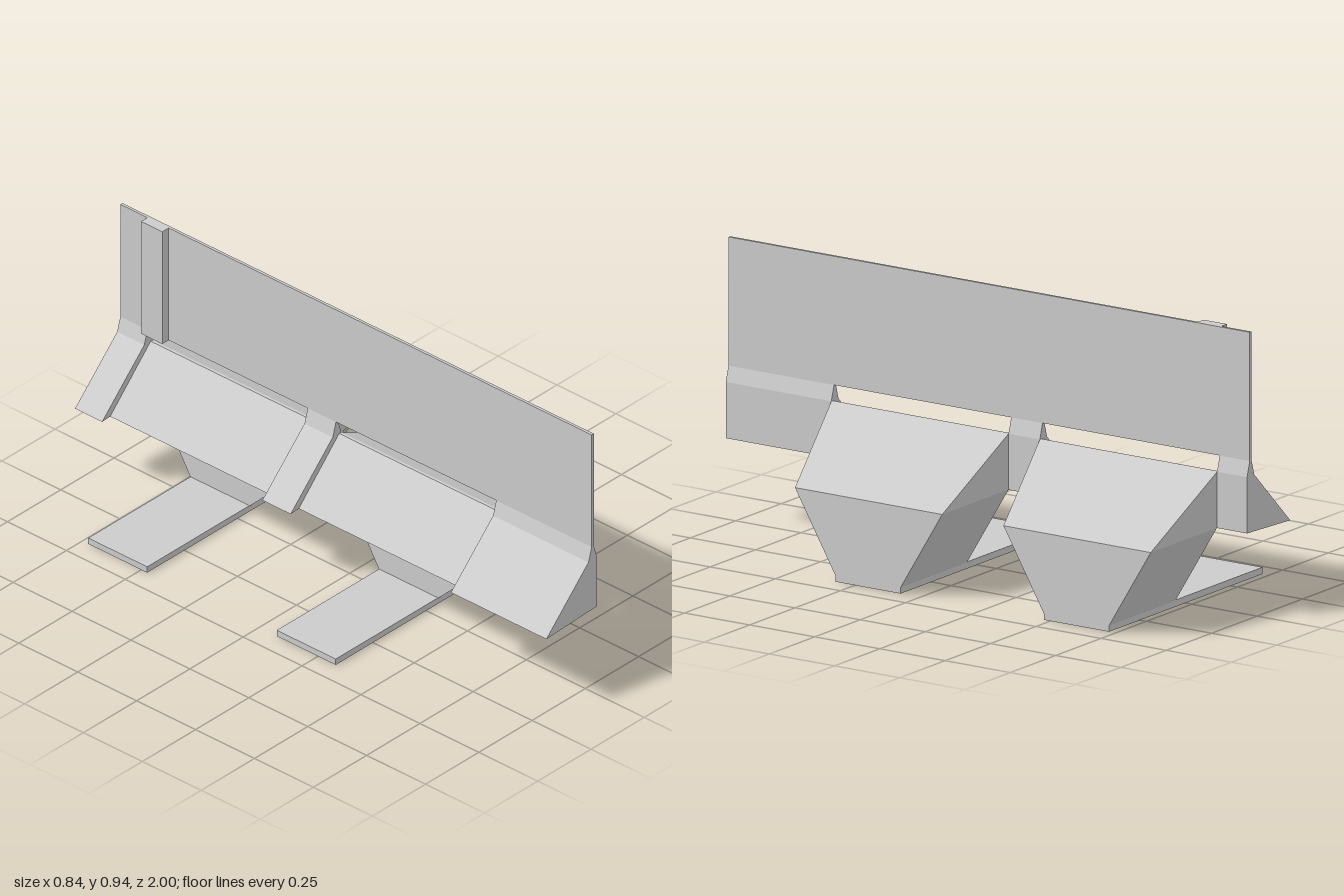
import * as THREE from 'three';

const mat = new THREE.MeshStandardMaterial({ color: 0xcccccc, flatShading: true });
const openMat = new THREE.MeshStandardMaterial({ color: 0xcccccc, flatShading: true, side: THREE.DoubleSide });

// Box given by its lower and upper corners
function box(name, [x0, y0, z0], [x1, y1, z1]) {
  const m = new THREE.Mesh(new THREE.BoxGeometry(x1 - x0, y1 - y0, z1 - z0), mat);
  m.name = name;
  m.position.set((x0 + x1) / 2, (y0 + y1) / 2, (z0 + z1) / 2);
  return m;
}

// Cross-section in x, y swept along z
function sweep(name, points, z0, z1) {
  const shape = new THREE.Shape(points.map(p => new THREE.Vector2(...p)));
  const geo = new THREE.ExtrudeGeometry(shape, { depth: z1 - z0, bevelEnabled: false });
  const m = new THREE.Mesh(geo, mat);
  m.name = name;
  m.position.z = z0;
  return m;
}

// Tapered chute, open at the bottom
function makeHopper() {
  const IN = 0.055, OUT = 0.42;
  const roof = [[IN, 0.465, 0.595], [IN, 0.465, -0.085]];
  const mid = [[IN, 0.283, 0.595], [OUT, 0.283, 0.48], [OUT, 0.283, -0.085], [IN, 0.283, -0.085]];
  const low = [[IN, 0.02, 0.325], [OUT, 0.02, 0.325], [OUT, 0.02, 0.075], [IN, 0.02, 0.075]];
  const rim = low.map(([x, , z]) => [x, 0, z]);
  const pos = [];
  const tri = (a, b, c) => pos.push(...a, ...b, ...c);
  const quad = (a, b, c, d) => { tri(a, b, c); tri(a, c, d); };

  // sloping roof and its two triangular cheeks
  quad(roof[0], mid[1], mid[2], roof[1]);
  tri(mid[0], mid[1], roof[0]);
  tri(mid[3], roof[1], mid[2]);
  // tapering walls and the short rim beneath them
  for (let i = 0; i < 4; i++) {
    const j = (i + 1) % 4;
    quad(low[i], low[j], mid[j], mid[i]);
    if (i < 3) quad(rim[i], rim[j], low[j], low[i]);
  }
  const geo = new THREE.BufferGeometry();
  geo.setAttribute('position', new THREE.Float32BufferAttribute(pos, 3));
  geo.computeVertexNormals();
  const m = new THREE.Mesh(geo, openMat);
  m.name = 'hopper';
  return m;
}

export function createModel() {
  const model = new THREE.Group();
  model.name = 'barrierWithHoppers';

  // upright panel with a rib on its rear side
  model.add(box('panel', [0.03, 0.515, -1], [0.04, 0.935, 1]));
  model.add(box('panelRib', [0, 0.515, -0.885], [0.03, 0.935, -0.795]));

  // full-height wedge supports carrying the panel
  const support = [[-0.183, 0.272], [0.055, 0.282], [0.055, 0.465], [0.04, 0.515], [0.03, 0.515], [0.015, 0.465]];
  for (const [z0, z1] of [[-1, -0.885], [-0.205, -0.085], [0.595, 1]]) {
    model.add(sweep('wedgeSupport', support, z0, z1));
  }

  // two bays, each with a recessed wedge, a hopper and a foot
  const recess = [[-0.145, 0.274], [0.055, 0.282], [0.055, 0.465], [0.045, 0.465]];
  for (const z of [0, -0.8]) {
    const bay = new THREE.Group();
    bay.name = 'hopperBay';
    bay.position.z = z;
    bay.add(
      sweep('recessedWedge', recess, -0.085, 0.595),
      makeHopper(),
      box('foot', [-0.425, 0, 0.075], [0.055, 0.022, 0.325]),
    );
    model.add(bay);
  }
  return model;
}
